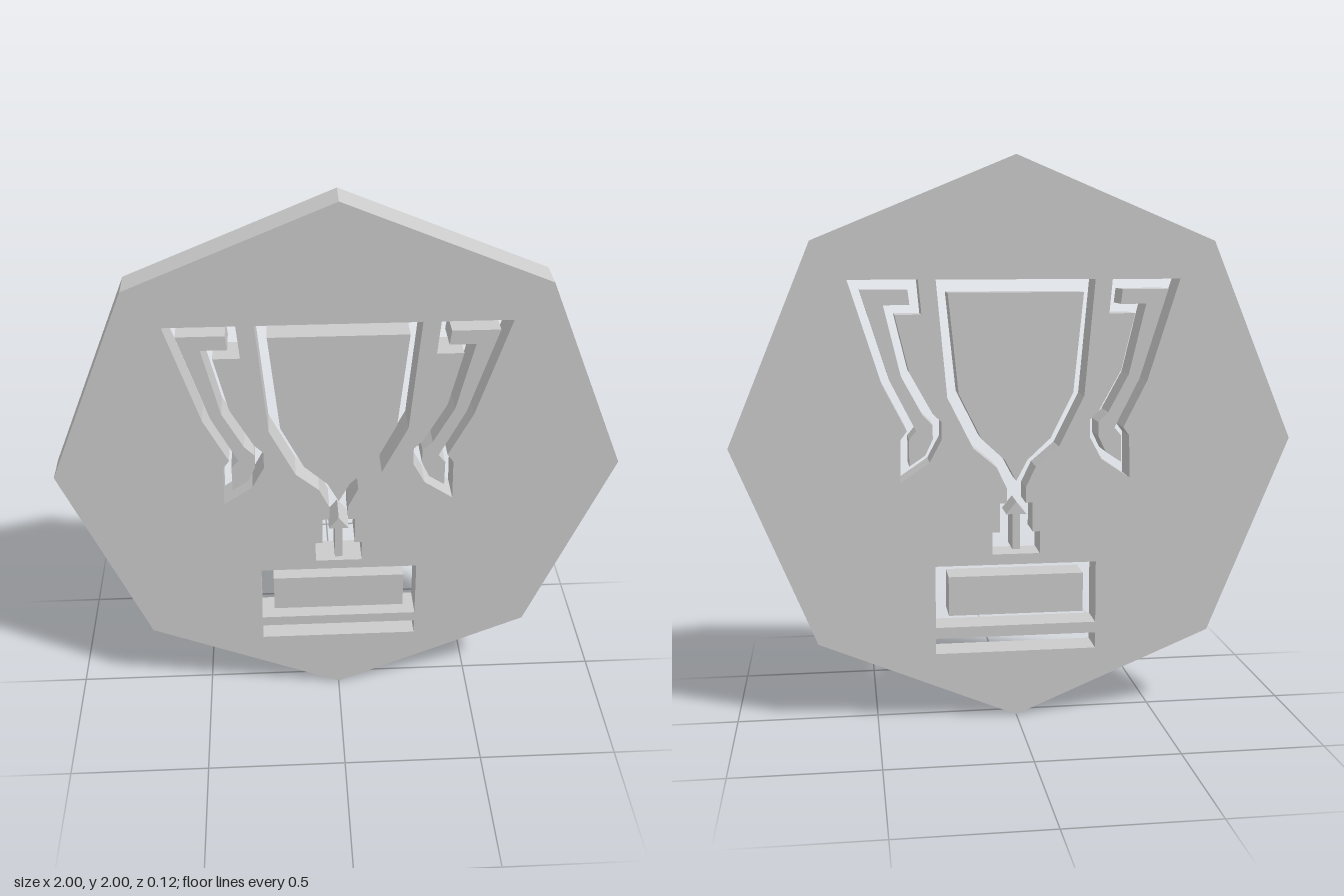
import * as THREE from 'three';

const DEPTH = 0.12;

export function createModel() {
  const group = new THREE.Group();
  const material = new THREE.MeshStandardMaterial({ color: 0xcccccc, flatShading: true });

  const points = (list) => list.map(([x, y]) => new THREE.Vector2(x, y));
  const flipX = (list) => list.map(([x, y]) => [-x, y]).reverse();
  const symmetric = (half) => [...half, ...flipX(half)];
  const rect = (w, bottom, top) => symmetric([[w, top], [w, bottom]]);

  function addSlab(name, outline, holes = []) {
    const shape = new THREE.Shape(points(outline));
    shape.holes = holes.map((hole) => new THREE.Path(points(hole)));
    const geometry = new THREE.ExtrudeGeometry(shape, { depth: DEPTH, bevelEnabled: false });
    geometry.translate(0, 0, -DEPTH / 2);
    const mesh = new THREE.Mesh(geometry, material);
    mesh.name = name;
    group.add(mesh);
  }

  // Octagonal plate outline, standing on one corner
  const octagon = Array.from({ length: 8 }, (_, i) => {
    const a = (i * Math.PI) / 4;
    return [Math.cos(a), 1 + Math.sin(a)];
  });

  // Cup and stem: cut-out and the pieces left inside it
  const cupCut = symmetric([
    [0.28, 1.575], [0.243, 1.165], [0.153, 0.985], [0.07, 0.915], [0.034, 0.84],
    [0.034, 0.785], [0.059, 0.785], [0.059, 0.68], [0.085, 0.68], [0.085, 0.6],
  ]);
  const bowl = [
    [0, 0.865], [0.04, 0.94], [0.123, 1.017], [0.203, 1.178], [0.239, 1.53],
    [-0.239, 1.53], [-0.203, 1.178], [-0.123, 1.017], [-0.04, 0.94],
  ];
  const stem = [
    [0, 0.79], [-0.036, 0.745], [-0.014, 0.745], [-0.014, 0.617],
    [0.014, 0.617], [0.014, 0.745], [0.036, 0.745],
  ];

  // Handle on the +x side: cut-out and the piece left inside it
  const handleCut = [
    [0.584, 1.575], [0.341, 1.575], [0.33, 1.455], [0.423, 1.455], [0.375, 1.255],
    [0.295, 1.11], [0.264, 1.08], [0.264, 1.017], [0.307, 0.937], [0.41, 0.867],
    [0.407, 1.02], [0.385, 1.05], [0.47, 1.215],
  ];
  const handle = [
    [0.542, 1.54], [0.377, 1.54], [0.371, 1.488], [0.462, 1.488], [0.403, 1.24],
    [0.33, 1.105], [0.295, 1.07], [0.295, 1.02], [0.322, 0.963], [0.378, 0.925],
    [0.378, 1.02], [0.353, 1.05], [0.442, 1.225],
  ];

  // Plate with every cut-out going right through
  addSlab('plate', octagon, [
    cupCut, handleCut, flipX(handleCut), rect(0.29, 0.337, 0.562), rect(0.29, 0.24, 0.297),
  ]);

  // Inlays standing free inside the cut-outs
  addSlab('bowl', bowl);
  addSlab('stem', stem);
  addSlab('leftHandle', handle);
  addSlab('rightHandle', flipX(handle));
  addSlab('plinth', rect(0.243, 0.38, 0.522));

  return group;
}
